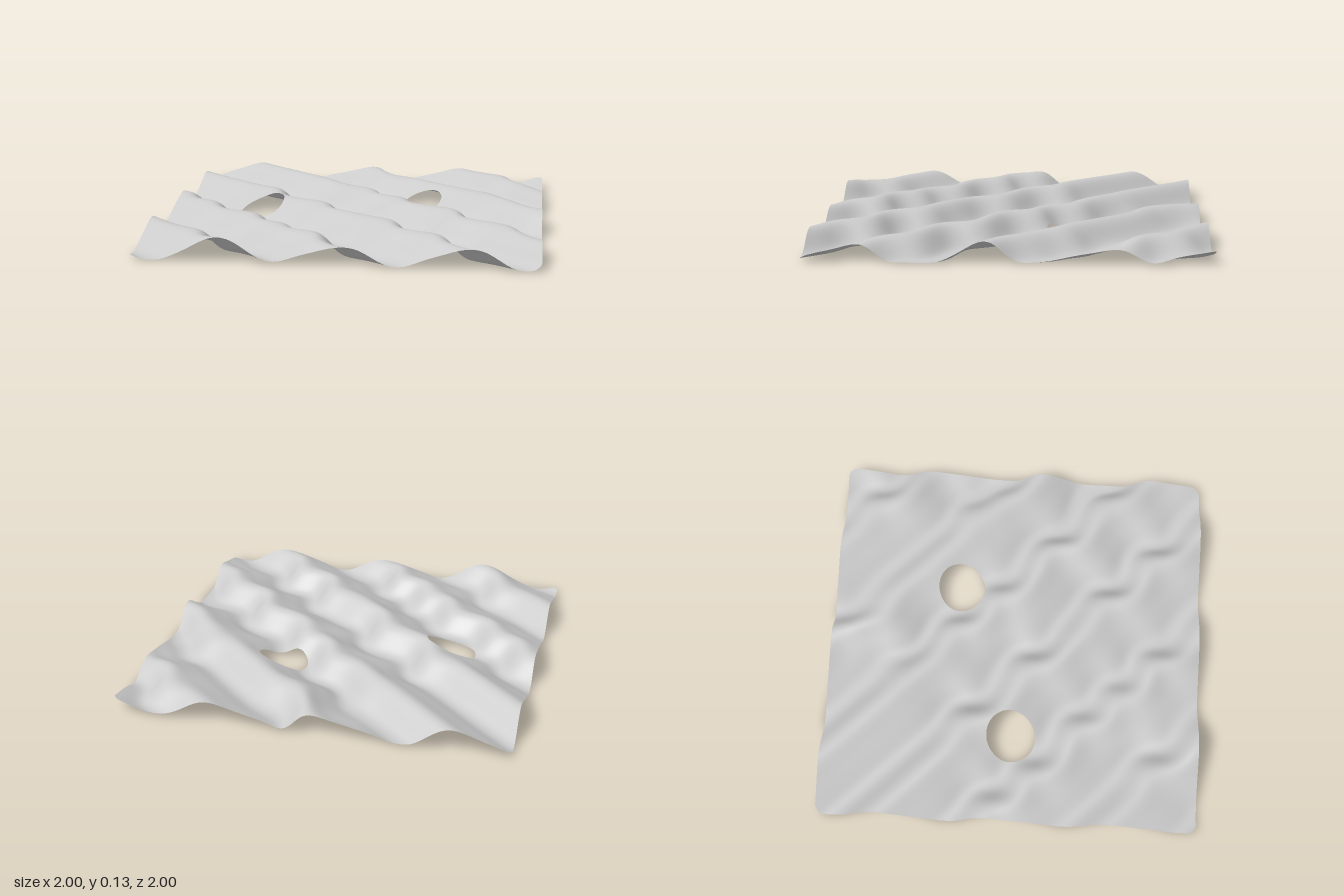
import * as THREE from 'three';

const HOLES = [[0.31, -0.31, 0.127], [-0.535, 0.005, 0.13]]; // x, z, radius
const CORNER = 0.05;
const PERIOD = 0.61; // ripple spacing, measured along x - z

// Spots where a ripple's steep side kinks, as [x, z]
const KINKS = [
  [-0.38, -0.22], [-0.86, -0.07], [-0.68, 0.12], [-0.05, 0.08], [-0.42, 0.4],
  [-0.23, 0.57], [-0.05, 0.8], [-0.6, 0.77], [0.31, -0.1], [0.32, 0.5],
  [0.6, 0.22], [0.59, 0.75], [0.97, 0.45], [0.87, -0.82], [0.86, -0.3],
  [0.96, -0.15], [0.05, -0.95], [0, -0.72], [0.12, -0.3],
];

// Uneven rim, as [x, z, depth]; a negative depth is a rise
const DIPS = [
  [1, -0.5, 0.035], [1, -0.25, 0.015], [1, 0.33, 0.025], [1, 0.74, 0.025],
  [0.02, 1, 0.015], [0.66, 1, 0.015], [-0.82, 1, 0.02], [-0.55, 1, -0.015],
  [-0.15, -1, 0.02],
];

// Diagonal ripples with one steep side, shifted sideways around each kink
function height(x, z) {
  const s = x - z, v = x + z;
  let shift = 0;
  for (const [kx, kz] of KINKS) {
    const ds = (s - kx + kz) / 0.2, dv = (v - kx - kz) / 0.14;
    shift -= 0.055 * dv * Math.exp(0.5 - (ds * ds + dv * dv) / 2);
  }
  const a = (2 * Math.PI * (s + 0.81 - shift)) / PERIOD;
  const amplitude = 0.052 * (1 - 0.06 * s * s);
  let y = 0.072 - amplitude * (Math.sin(a) + 0.18 * Math.sin(2 * a));
  y += 0.005 * Math.sin(5 * x + 1) * Math.sin(4 * z);
  for (const [dx, dz, depth] of DIPS) {
    y -= depth * Math.exp(-((x - dx) ** 2 + (z - dz) ** 2) / 0.025);
  }
  // ease the lowest valleys onto the ground clearance instead of cutting them flat
  const low = y - 0.03;
  return low < 0 ? 0.03 + 0.02 * Math.tanh(low / 0.02) : y;
}

// Moves a point onto the circle around (cx, cz)
function snap(p, cx, cz, r) {
  const dx = p.x - cx, dz = p.z - cz, d = Math.hypot(dx, dz) || 1;
  p.x = cx + (dx / d) * r;
  p.z = cz + (dz / d) * r;
}

function sheetGeometry() {
  const geo = new THREE.PlaneGeometry(2, 2, 170, 170).rotateX(-Math.PI / 2);
  const pos = geo.attributes.position;
  const rim = new Array(pos.count).fill(0); // which trimmed outline a vertex lies on
  const p = new THREE.Vector3();

  for (let i = 0; i < pos.count; i++) {
    p.fromBufferAttribute(pos, i);
    // round holes
    HOLES.forEach(([hx, hz, r], n) => {
      if (Math.hypot(p.x - hx, p.z - hz) < r) {
        snap(p, hx, hz, r);
        rim[i] = n + 1;
      }
    });
    // rounded corners
    const c = 1 - CORNER;
    if (Math.abs(p.x) > c && Math.abs(p.z) > c) {
      const cx = Math.sign(p.x) * c, cz = Math.sign(p.z) * c;
      if (Math.hypot(p.x - cx, p.z - cz) > CORNER) {
        snap(p, cx, cz, CORNER);
        rim[i] = 9;
      }
    }
    pos.setXYZ(i, p.x, height(p.x, p.z), p.z);
  }

  // Drop the faces that fall inside a hole or outside a corner
  const index = geo.index.array, kept = [];
  for (let i = 0; i < index.length; i += 3) {
    const [a, b, c] = [index[i], index[i + 1], index[i + 2]];
    if (rim[a] && rim[a] === rim[b] && rim[b] === rim[c]) continue;
    kept.push(a, b, c);
  }
  geo.setIndex(kept);
  geo.computeVertexNormals();
  return geo;
}

export function createModel() {
  const group = new THREE.Group();
  group.name = 'rippledSheet';
  const sheet = new THREE.Mesh(
    sheetGeometry(),
    new THREE.MeshStandardMaterial({ color: 0xcccccc, side: THREE.DoubleSide }),
  );
  sheet.name = 'sheet';
  group.add(sheet);
  return group;
}
